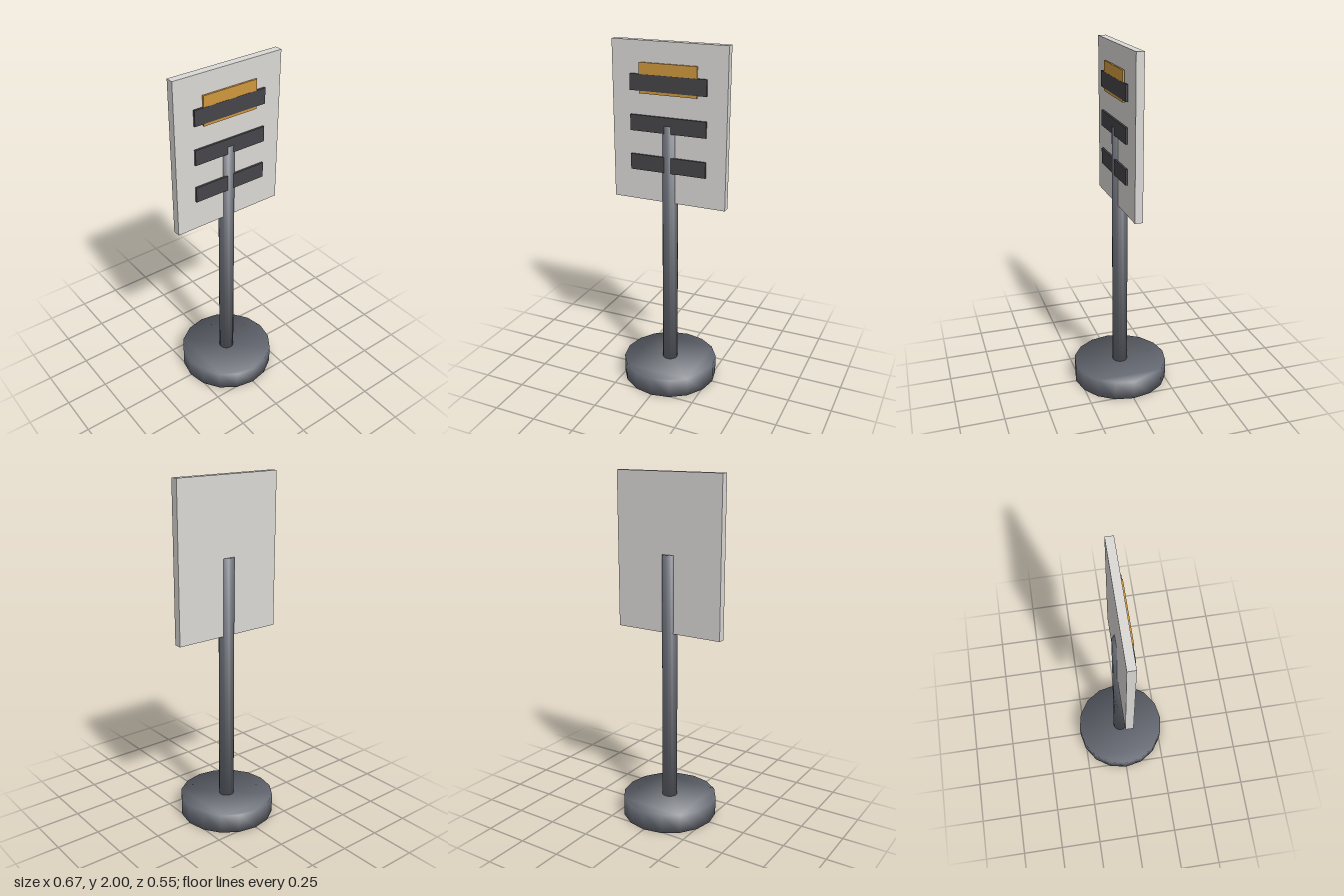
import * as THREE from 'three';

const CENTRE_Z = -0.0015;
const SIDES = 16;

const steel = new THREE.MeshStandardMaterial({ color: 0x666a73 });
const panel = new THREE.MeshStandardMaterial({ color: 0xdbd9d6 });
const dark = new THREE.MeshStandardMaterial({ color: 0x45454a });
const amber = new THREE.MeshStandardMaterial({ color: 0xd0983f });

// Upright 16-sided drum whose normals are blended softly over the rims
function drum(name, radius, y0, y1) {
  const corners = Array.from({ length: SIDES }, (_, i) => {
    const a = (i / SIDES) * Math.PI * 2;
    return new THREE.Vector2(radius * Math.cos(a), radius * Math.sin(a));
  });
  const geo = new THREE.ExtrudeGeometry(new THREE.Shape(corners), { depth: y1 - y0, bevelEnabled: false });
  geo.rotateX(-Math.PI / 2);
  const pos = geo.attributes.position;
  const n = new THREE.Vector3();
  for (let i = 0; i < pos.count; i++) {
    const up = pos.getY(i) > (y1 - y0) / 2 ? 0.89 : -0.89;
    n.set(pos.getX(i) / radius, up, pos.getZ(i) / radius).normalize();
    geo.attributes.normal.setXYZ(i, n.x, n.y, n.z);
  }
  const mesh = new THREE.Mesh(geo, steel);
  mesh.name = name;
  mesh.position.set(0, y0, CENTRE_Z);
  return mesh;
}

// Flat upright plate, centred on x, given by its y and z extents
function plate(name, material, width, y0, y1, z0, z1) {
  const mesh = new THREE.Mesh(new THREE.BoxGeometry(width, y1 - y0, z1 - z0), material);
  mesh.name = name;
  mesh.position.set(0, (y0 + y1) / 2, (z0 + z1) / 2);
  return mesh;
}

export function createModel() {
  const model = new THREE.Group();
  model.name = 'signPost';

  // Weighted foot and pole
  model.add(drum('base', 0.277, 0, 0.111));
  model.add(drum('pole', 0.044, 0.001, 1.556));

  // Sign board, pierced by the pole
  model.add(plate('board', panel, 0.666, 1.115, 2, -0.0235, 0.0205));

  // Coloured header and three dark strips just off the board's face
  model.add(plate('header', amber, 0.333, 1.721, 1.887, 0.026, 0.0365));
  [1.78, 1.558, 1.336].forEach((y, i) => {
    model.add(plate(`strip${i + 1}`, dark, 0.444, y - 0.0445, y + 0.0445, 0.026, 0.0375));
  });

  return model;
}
